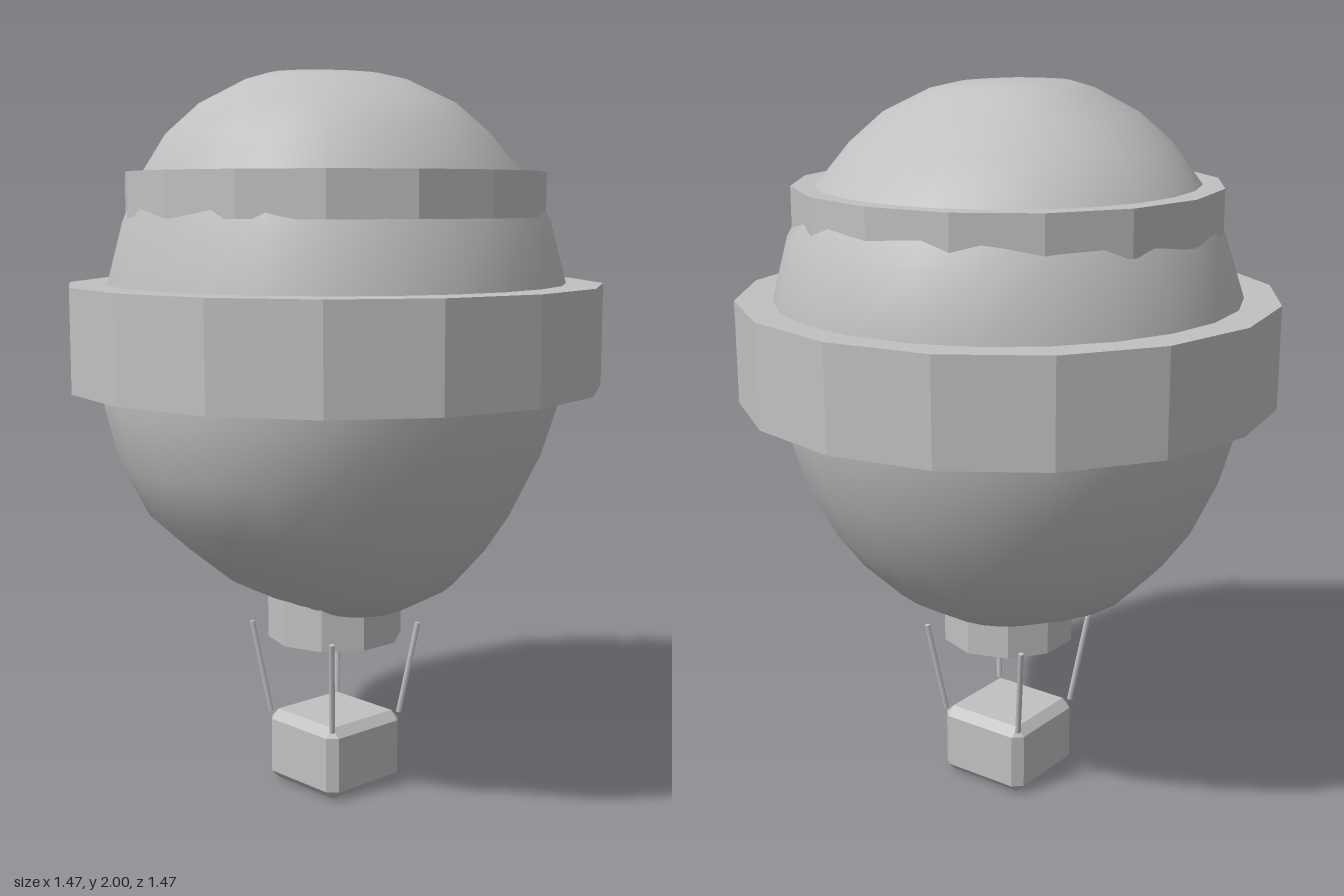
import * as THREE from 'three';
import { ConvexGeometry } from 'three/addons/geometries/ConvexGeometry.js';

const grey = new THREE.MeshStandardMaterial({ color: 0xc0c0c0 });
grey.name = 'plain grey';

function part(name, geometry, parent) {
  const mesh = new THREE.Mesh(geometry, grey);
  mesh.name = name;
  parent.add(mesh);
  return mesh;
}

// Flat-faced upright drum between two heights
function drum(name, radius, y0, y1, sides, parent) {
  const g = new THREE.CylinderGeometry(radius, radius, y1 - y0, sides).toNonIndexed();
  g.computeVertexNormals();
  g.translate(0, (y0 + y1) / 2, 0);
  return part(name, g, parent);
}

// Envelope rings: height, then reach towards +x, +z, -x, -z
const RINGS = [
  [0.53, 0.22, 0.13, 0.19, 0.20],
  [0.60, 0.35, 0.27, 0.36, 0.32],
  [0.70, 0.43, 0.40, 0.46, 0.43],
  [0.80, 0.49, 0.52, 0.53, 0.51],
  [0.95, 0.56, 0.60, 0.60, 0.59],
  [1.10, 0.61, 0.635, 0.645, 0.635],
  [1.27, 0.635, 0.645, 0.66, 0.66],
  [1.43, 0.62, 0.62, 0.64, 0.65],
  [1.60, 0.57, 0.58, 0.58, 0.61],
  [1.73, 0.51, 0.53, 0.51, 0.52],
  [1.83, 0.44, 0.475, 0.42, 0.40],
  [1.91, 0.36, 0.39, 0.315, 0.27],
  [1.97, 0.23, 0.27, 0.20, 0.15],
  [1.99, 0.14, 0.20, 0.13, 0.08],
];

// Slightly lopsided smooth balloon lofted through the rings
function envelopeGeometry(n) {
  const pos = [], index = [];
  for (const [y, xp, zp, xn, zn] of RINGS) {
    for (let i = 0; i < n; i++) {
      const a = (i / n) * Math.PI * 2, c = Math.cos(a), s = Math.sin(a);
      const r = (c > 0 ? xp : xn) * c * c + (s > 0 ? zp : zn) * s * s;
      pos.push(r * c, y, r * s);
    }
  }
  const last = (RINGS.length - 1) * n, bottom = RINGS.length * n, top = bottom + 1;
  pos.push(0, 0.515, 0, 0, 2, 0.04);
  for (let i = 0; i < n; i++) {
    const k = (i + 1) % n;
    for (let j = 0; j < last; j += n) {
      index.push(j + i, j + n + i, j + k, j + k, j + n + i, j + n + k);
    }
    index.push(bottom, i, k, top, last + k, last + i);
  }
  const g = new THREE.BufferGeometry();
  g.setAttribute('position', new THREE.Float32BufferAttribute(pos, 3));
  g.setIndex(index);
  g.computeVertexNormals();
  return g;
}

// Box with chamfered edges, as the hull of its cut corners
function chamferBox(w, h, d, cut) {
  const points = [];
  for (const x of [-1, 1]) for (const y of [-1, 1]) for (const z of [-1, 1]) {
    for (let full = 0; full < 3; full++) {
      const size = [w, h, d].map((s, i) => s / 2 - (i === full ? 0 : cut));
      points.push(new THREE.Vector3(x * size[0], y * size[1], z * size[2]));
    }
  }
  return new ConvexGeometry(points);
}

export function createModel() {
  const model = new THREE.Group();
  model.name = 'hotAirBalloon';

  part('envelope', envelopeGeometry(24), model);
  drum('wideBand', 0.737, 1.15, 1.43, 16, model);
  drum('upperBand', 0.577, 1.61, 1.73, 16, model);
  drum('neck', 0.19, 0.43, 0.58, 10, model);
  part('basket', chamferBox(0.28, 0.205, 0.28, 0.025), model).position.y = 0.1025;

  // Four ropes leaning out from the basket corners
  const ropes = new THREE.Group();
  ropes.name = 'ropes';
  model.add(ropes);
  const up = new THREE.Vector3(0, 1, 0);
  for (const x of [-1, 1]) for (const z of [-1, 1]) {
    const low = new THREE.Vector3(x * 0.13, 0.2, z * 0.13);
    const high = new THREE.Vector3(x * 0.167, 0.465, z * 0.167);
    const dir = high.clone().sub(low);
    const rope = part('rope', new THREE.CylinderGeometry(0.008, 0.008, dir.length(), 6), ropes);
    rope.position.copy(low).add(high).multiplyScalar(0.5);
    rope.quaternion.setFromUnitVectors(up, dir.normalize());
  }
  return model;
}
